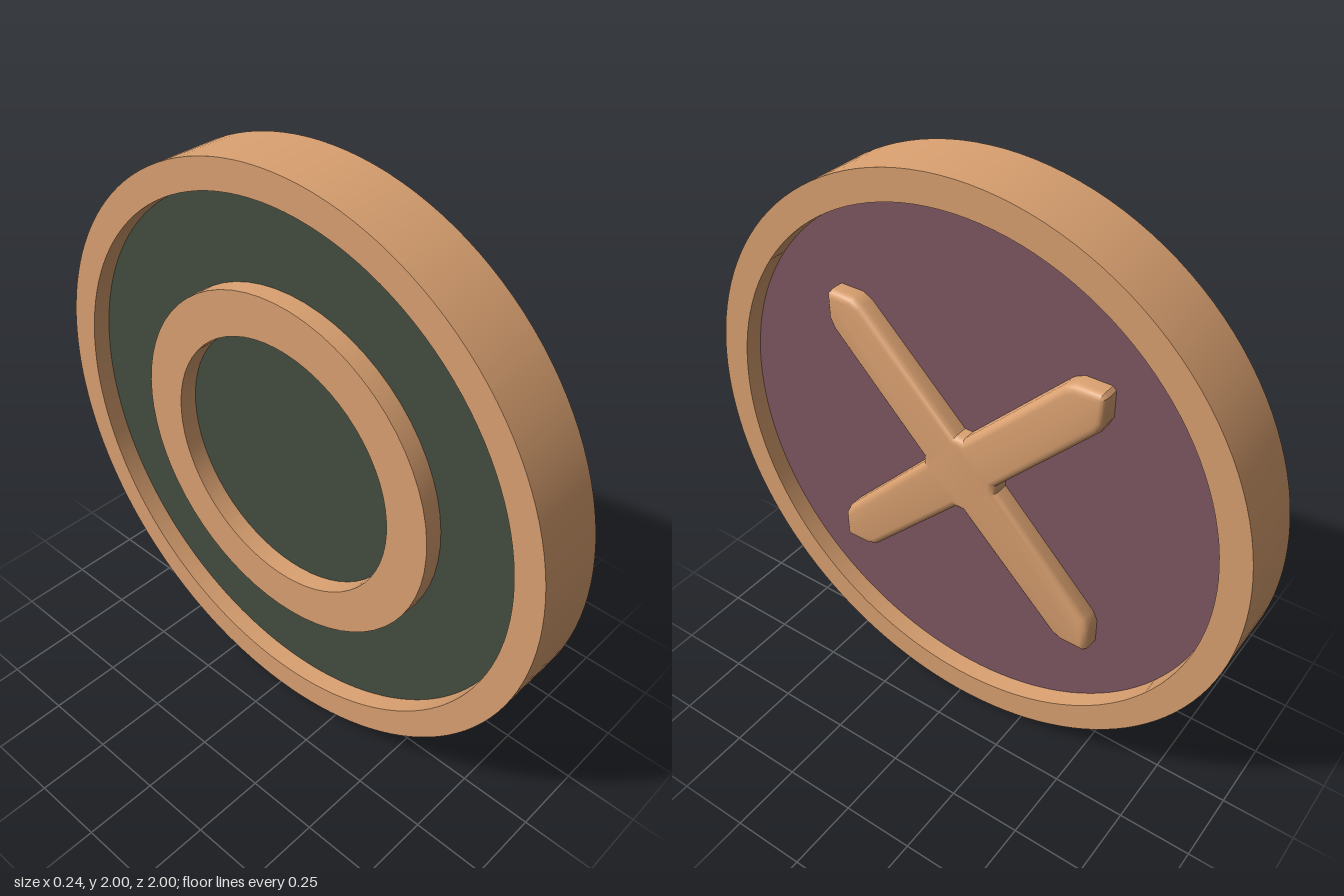
import * as THREE from 'three';
import { toCreasedNormals } from 'three/addons/utils/BufferGeometryUtils.js';

const HALF = 0.12;   // half thickness of the token
const FLOOR = 0.055; // distance of the recessed panels from the middle

const tan = new THREE.MeshStandardMaterial({ color: 0xd9a070 });
const mauve = new THREE.MeshStandardMaterial({ color: 0x7d5561 });
const darkGreen = new THREE.MeshStandardMaterial({ color: 0x434c40 });

// Square-section ring around the x axis, from x0 to x1
function ringGeometry(inner, outer, x0, x1, segments) {
  const profile = [[outer, x0], [outer, x1], [inner, x1], [inner, x0], [outer, x0]]
    .map(([r, h]) => new THREE.Vector2(r, h));
  const g = new THREE.LatheGeometry(profile, segments);
  g.rotateZ(-Math.PI / 2);
  return toCreasedNormals(g, 0.5);
}

// Solid disc around the x axis, from x0 to x1
function discGeometry(radius, x0, x1) {
  const g = new THREE.CylinderGeometry(radius, radius, x1 - x0, 128);
  g.rotateZ(-Math.PI / 2);
  g.translate((x0 + x1) / 2, 0, 0);
  return g;
}

// Diagonal cross with square-cut tips and rounded upper edges
function crossGeometry() {
  const tip = [[0.015, 0.14], [0.365, 0.483], [0.4, 0.5], [0.488, 0.5],
    [0.5, 0.488], [0.5, 0.4], [0.483, 0.365], [0.14, 0.015]];
  const points = [];
  for (let i = 0; i < 4; i++) {
    const a = -i * Math.PI / 2;
    for (const [x, y] of tip) {
      points.push(new THREE.Vector2(x, y).rotateAround(new THREE.Vector2(), a));
    }
  }
  const bevel = 0.025, base = 0.005;
  const g = new THREE.ExtrudeGeometry(new THREE.Shape(points), {
    depth: HALF - base - 2 * bevel, bevelEnabled: true, bevelThickness: bevel,
    bevelSize: bevel, bevelOffset: -bevel, bevelSegments: 4,
  });
  g.translate(0, 0, base + bevel);
  g.rotateY(Math.PI / 2);
  return toCreasedNormals(g, 0.6);
}

export function createModel() {
  const token = new THREE.Group();
  token.name = 'token';
  const add = (name, geometry, material) => {
    const mesh = new THREE.Mesh(geometry, material);
    mesh.name = name;
    mesh.position.y = 1;
    token.add(mesh);
  };

  add('rim', ringGeometry(0.9, 1, -HALF, HALF, 128), tan);

  // Cross side
  add('crossPanel', discGeometry(0.92, 0, FLOOR), mauve);
  add('cross', crossGeometry(), tan);

  // Ring side
  add('ringPanel', discGeometry(0.92, -FLOOR, 0), darkGreen);
  add('raisedRing', ringGeometry(0.45, 0.6, -HALF, -FLOOR + 0.02, 64), tan);

  return token;
}
